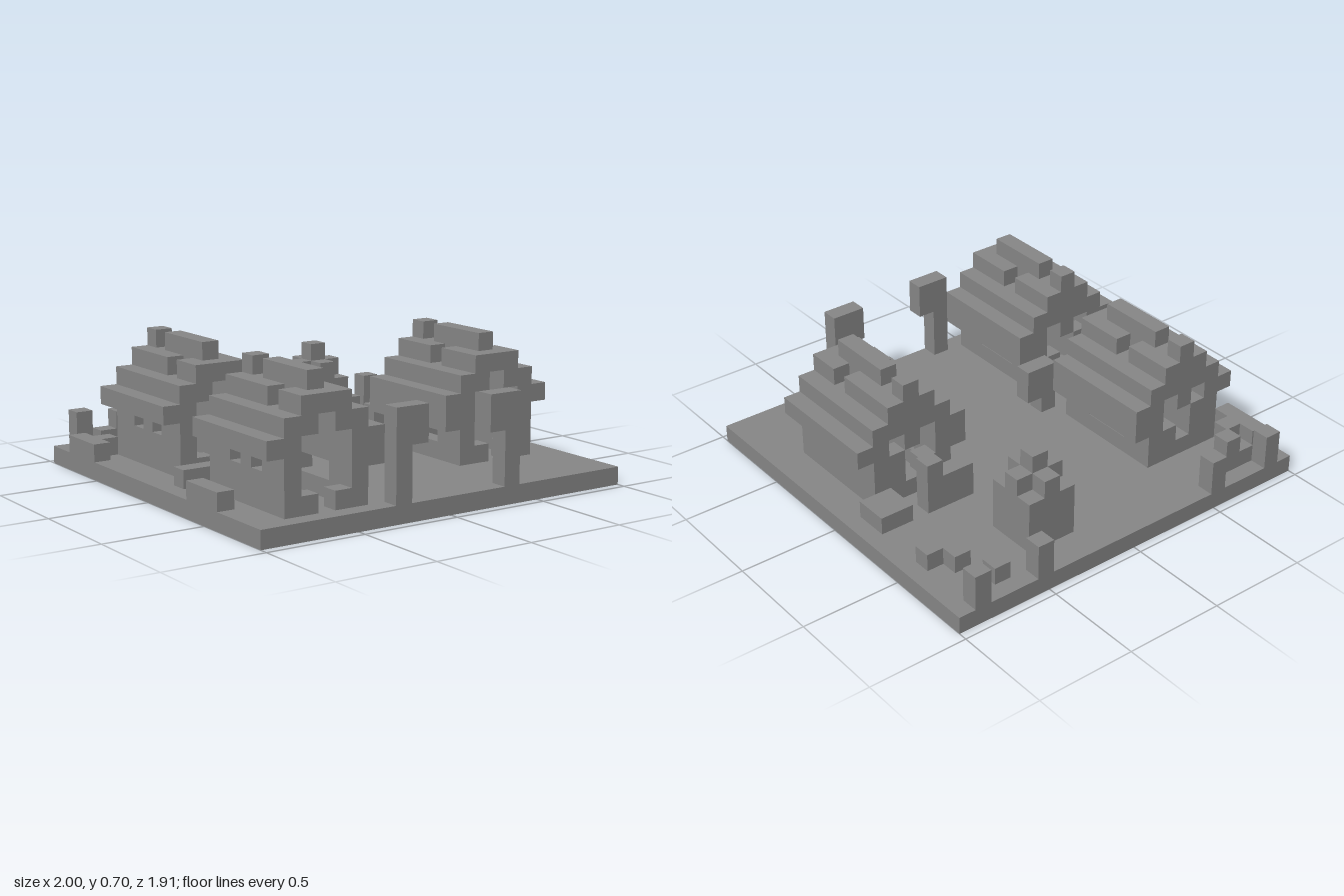
import * as THREE from 'three';

const S = 2 / 23; // size of one block; the plot is 23 x 22 blocks
const stone = new THREE.MeshStandardMaterial({ color: 0x888888 });
stone.name = 'grey stone';

// Box filling whole cells, both ends included: [x0, x1, y0, y1, z0, z1]
function block(name, [x0, x1, y0, y1, z0, z1]) {
  const w = x1 - x0 + 1, h = y1 - y0 + 1, d = z1 - z0 + 1;
  const mesh = new THREE.Mesh(new THREE.BoxGeometry(w * S, h * S, d * S), stone);
  mesh.position.set((x0 + w / 2 - 11.5) * S, (y0 + h / 2) * S, (z0 + d / 2 - 11) * S);
  mesh.name = name;
  return mesh;
}

function cluster(name, part, boxes) {
  const group = new THREE.Group();
  group.name = name;
  boxes.forEach((b) => group.add(block(part, b)));
  return group;
}

// House parts, with z counted from the back wall
const houseParts = {
  outerWall: [
    [2, 2, 1, 2, 0, 6], [2, 2, 3, 3, 0, 1], [2, 2, 3, 3, 3, 3], [2, 2, 3, 3, 5, 6],
  ],
  innerWall: [
    [6, 6, 1, 1, 0, 6], [6, 6, 2, 2, 0, 1], [6, 6, 2, 2, 5, 6], [6, 6, 3, 3, 0, 6],
  ],
  backGable: [
    [3, 3, 1, 3, 0, 0], [4, 4, 1, 1, 0, 0], [4, 4, 4, 5, 0, 0], [5, 5, 1, 2, 0, 0],
  ],
  doorway: [[3, 3, 1, 1, 6, 6], [5, 5, 1, 1, 6, 6]],
  roof: [
    [7, 7, 3, 3, 0, 6], [1, 2, 4, 4, 0, 6], [6, 7, 4, 4, 0, 6],
    [2, 3, 5, 5, 0, 6], [5, 6, 5, 5, 0, 6],
    [3, 3, 6, 6, 0, 3], [3, 3, 6, 6, 5, 6], [4, 4, 6, 6, 0, 6],
    [5, 5, 6, 6, 0, 2], [5, 5, 6, 6, 4, 6],
  ],
  ridge: [[4, 4, 7, 7, 0, 0], [4, 4, 7, 7, 2, 5]],
};

function house(name, z, mirrored) {
  const group = new THREE.Group();
  group.name = name;
  for (const [part, boxes] of Object.entries(houseParts)) {
    group.add(cluster(part, part + 'Block', boxes.map(([a, b, c, d, e, f]) =>
      [mirrored ? 22 - b : a, mirrored ? 22 - a : b, c, d, e + z, f + z])));
  }
  return group;
}

export function createModel() {
  const model = new THREE.Group();
  model.name = 'village';
  model.add(block('ground', [0, 22, 0, 0, 0, 21]));

  model.add(house('backRightHouse', 4, false));
  model.add(house('frontRightHouse', 14, false));
  model.add(house('leftHouse', 10, true));

  // Stepped pile: high centre, lower sides, lowest corners
  const pile = [];
  for (let x = -1; x <= 1; x++)
    for (let z = -1; z <= 1; z++)
      pile.push([15 + x, 15 + x, 1, 5 - Math.abs(x) - Math.abs(z), 3 + z, 3 + z]);
  model.add(cluster('pile', 'pileColumn', pile));

  // Posts with a hanging arm
  model.add(cluster('frontRightPost', 'postPart', [[8, 8, 1, 5, 21, 21], [9, 9, 4, 5, 21, 21]]));
  model.add(cluster('frontLeftPost', 'postPart', [[15, 15, 1, 5, 21, 21], [14, 14, 4, 5, 21, 21]]));
  model.add(cluster('middlePost', 'postPart', [[7, 7, 1, 3, 12, 12], [8, 8, 2, 3, 12, 12]]));
  model.add(cluster('rearPost', 'postPart', [[18, 18, 1, 3, 8, 8], [16, 17, 1, 2, 8, 8]]));

  // Short stumps along the back
  model.add(cluster('stumps', 'stump', [
    [1, 1, 1, 2, 0, 0], [5, 5, 1, 2, 0, 0], [3, 3, 1, 2, 1, 1], [2, 2, 1, 1, 1, 1],
    [17, 17, 1, 2, 0, 0], [21, 21, 1, 2, 0, 0], [19, 19, 1, 1, 1, 1],
  ]));

  // Low bushes
  model.add(cluster('bushes', 'bush', [
    [0, 0, 1, 1, 2, 4], [1, 1, 1, 1, 3, 3], [0, 0, 1, 1, 15, 17],
    [1, 3, 1, 1, 12, 12], [4, 4, 1, 1, 11, 11],
    [20, 20, 1, 1, 3, 4], [21, 21, 1, 1, 4, 4], [20, 21, 1, 1, 8, 9],
  ]));
  return model;
}
